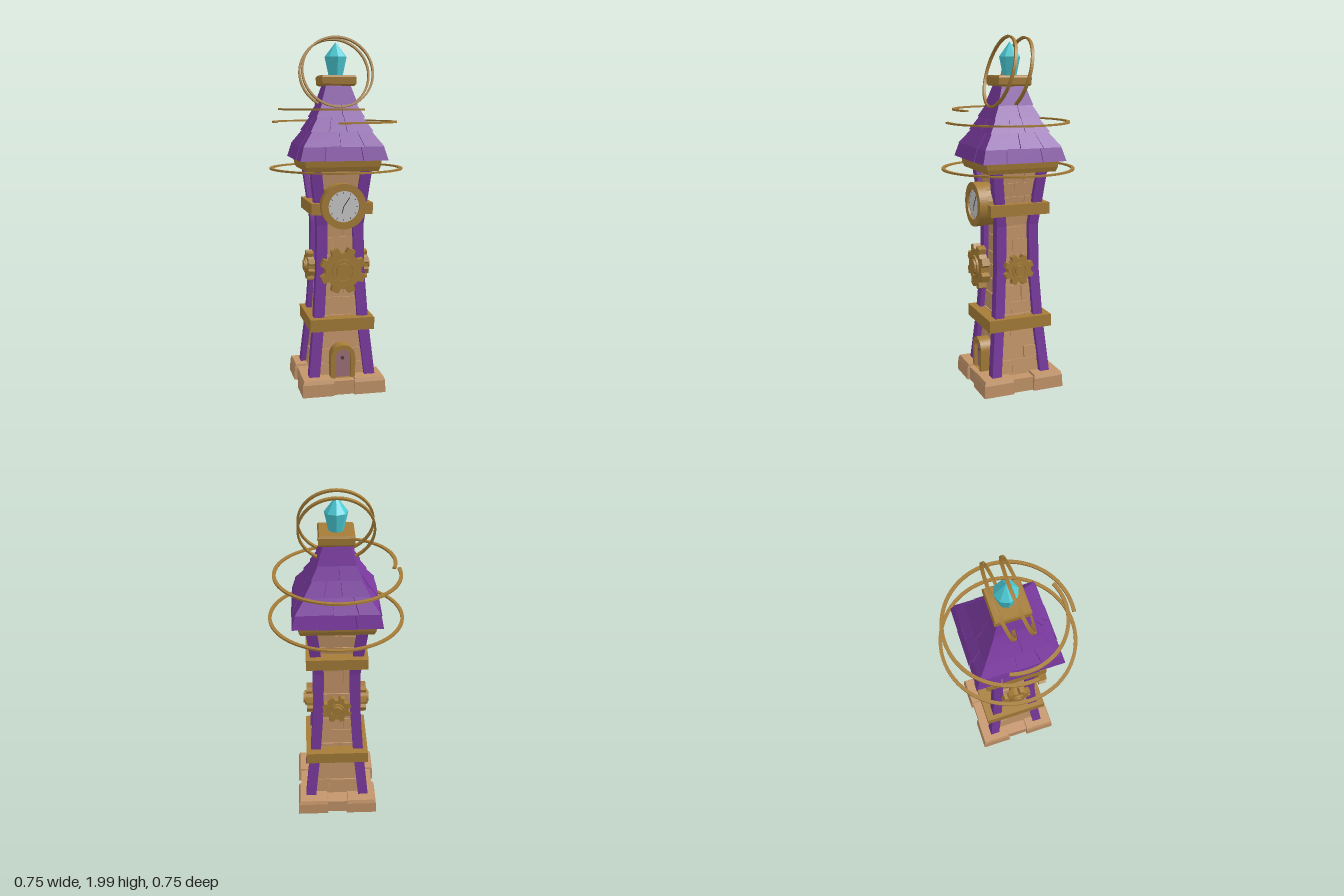
import * as THREE from 'three';

const mat = (name, color) => Object.assign(new THREE.MeshStandardMaterial({ color, flatShading: true }), { name });
const M = {
  stone: mat('sandstone', 0xc4956a), purple: mat('purple', 0x7a3a9f), gold: mat('brass', 0xa67d38),
  crystal: mat('crystal', 0x4ccbd6), dial: mat('dial', 0xcacaca), door: mat('door', 0x9d727a), dark: mat('dark metal', 0x4a4046),
};

// Half-width outlines as [y, half] points
const BODY = [[0.08, 0.19], [0.4, 0.157], [0.7, 0.137], [0.95, 0.133], [1.27, 0.173]];
const ROOF = [[1.32, 0.226], [1.385, 0.215], [1.47, 0.16], [1.59, 0.1], [1.73, 0.063]];
const halfAt = (pts, y) => {
  let i = 1;
  while (i < pts.length - 1 && y > pts[i][0]) i++;
  const [a, b] = [pts[i - 1], pts[i]];
  return a[1] + (b[1] - a[1]) * (y - a[0]) / (b[0] - a[0]);
};

let seed = 7;
const rand = () => (seed = (seed * 16807) % 2147483647) / 2147483647;

function add(parent, name, geo, material, x = 0, y = 0, z = 0) {
  const m = new THREE.Mesh(geo, material);
  m.name = name;
  m.position.set(x, y, z);
  parent.add(m);
  return m;
}

const box = (parent, name, w, h, d, material, x, y, z) =>
  add(parent, name, new THREE.BoxGeometry(w, h, d), material, x, y, z);

// Square sections [y, half, cx, cz] joined into a closed solid
function loft(sections) {
  const pos = [], idx = [], n = sections.length;
  for (const [y, h, cx = 0, cz = 0] of sections)
    for (const [sx, sz] of [[-1, 1], [1, 1], [1, -1], [-1, -1]]) pos.push(cx + sx * h, y, cz + sz * h);
  const quad = (a, b, c, d) => idx.push(a, b, c, a, c, d);
  for (let i = 0; i < n - 1; i++)
    for (let k = 0; k < 4; k++) {
      const a = i * 4 + k, b = i * 4 + (k + 1) % 4;
      quad(a, b, b + 4, a + 4);
    }
  quad(3, 2, 1, 0);
  const t = (n - 1) * 4;
  quad(t, t + 1, t + 2, t + 3);
  const g = new THREE.BufferGeometry();
  g.setAttribute('position', new THREE.Float32BufferAttribute(pos, 3));
  g.setIndex(idx);
  const flat = g.toNonIndexed();
  flat.computeVertexNormals();
  return flat;
}

// Slab lying on one tapered face; u runs -1..1 across it, dLow and dHigh are its thickness
function slab(outline, side, y0, y1, u0, u1, dLow, dHigh) {
  const g = new THREE.BoxGeometry(1, 1, 1).toNonIndexed();
  const p = g.attributes.position;
  for (let i = 0; i < p.count; i++) {
    const up = p.getY(i) > 0, y = up ? y1 : y0;
    const r = outline(y) + (p.getZ(i) > 0 ? (up ? dHigh : dLow) : -0.01);
    p.setXYZ(i, (p.getX(i) > 0 ? u1 : u0) * r, y, r);
  }
  g.rotateY(side * Math.PI / 2);
  g.computeVertexNormals();
  return g;
}

// Flat ring or open arc centred on its own thickness
function ringGeo(outer, inner, depth, from = 0, to = Math.PI * 2 - 0.0005) {
  const s = new THREE.Shape();
  s.absarc(0, 0, outer, from, to, false);
  s.absarc(0, 0, inner, to, from, true);
  return new THREE.ExtrudeGeometry(s, { depth, bevelEnabled: false, curveSegments: 36 }).translate(0, 0, -depth / 2);
}

const discGeo = (r, depth, sides = 24) => new THREE.CylinderGeometry(r, r, depth, sides).rotateX(Math.PI / 2);

// Toothed wheel facing +z, with hub
function gear(r, depth, hubOut) {
  const group = new THREE.Group(), s = new THREE.Shape(), n = 8;
  for (let i = 0; i < n; i++)
    for (const [k, f] of [[-0.32, 0.78], [-0.2, 1], [0.2, 1], [0.32, 0.78]]) {
      const a = (i + 0.5 + k) / n * Math.PI * 2;
      s[i || k > -0.3 ? 'lineTo' : 'moveTo'](Math.cos(a) * r * f, Math.sin(a) * r * f);
    }
  add(group, 'gearWheel', new THREE.ExtrudeGeometry(s, { depth, bevelEnabled: false }), M.gold);
  add(group, 'gearCollar', ringGeo(r * 0.5, r * 0.4, 0.014), M.gold, 0, 0, depth + 0.004);
  add(group, 'gearHub', discGeo(r * 0.34, 0.07 + hubOut, 12), M.gold, 0, 0, depth + hubOut - (0.07 + hubOut) / 2);
  return group;
}

// Rounded-top doorway outline
function arch(shape, w, h) {
  shape.moveTo(-w, 0);
  shape.lineTo(w, 0);
  shape.lineTo(w, h - w);
  shape.absarc(0, h - w, w, 0, Math.PI, false);
  shape.lineTo(-w, 0);
  return shape;
}

export function createModel() {
  const model = new THREE.Group();
  model.name = 'clockTower';
  const tower = new THREE.Group();
  tower.name = 'tower';
  tower.position.z = -0.005;
  model.add(tower);

  // Plinth with heavier corner stones
  box(tower, 'plinth', 0.44, 0.08, 0.45, M.stone, 0, 0.04, 0);
  for (const sx of [-1, 1]) for (const sz of [-1, 1])
    add(tower, 'plinthCorner', loft([[0, 0.09, sx * 0.147, sz * 0.15], [0.07, 0.088, sx * 0.147, sz * 0.15],
      [0.092, 0.082, sx * 0.145, sz * 0.148]]), M.stone);

  // Waisted shaft, corner posts and raised bricks
  const shaft = new THREE.Group();
  shaft.name = 'shaft';
  shaft.scale.z = 0.93;
  tower.add(shaft);
  const wall = y => halfAt(BODY, y) - 0.036;
  add(shaft, 'wallCore', loft(BODY.map(([y]) => [y, wall(y)])), M.stone);
  for (const sx of [-1, 1]) for (const sz of [-1, 1])
    add(shaft, 'cornerPost', loft(BODY.map(([y, h]) => [y, 0.03, sx * (h - 0.03), sz * (h - 0.03)])), M.purple);
  for (let side = 0; side < 4; side++)
    for (let y = 0.095, row = 0; y < 1.22; row++) {
      const h = Math.min(0.07 + rand() * 0.035, 1.26 - y);
      const cut = (row % 2 ? 0.25 : -0.25) + (rand() - 0.5) * 0.3;
      for (const [u0, u1] of [[-0.95, cut - 0.02], [cut + 0.02, 0.95]]) {
        const d = 0.003 + rand() * 0.007;
        if (rand() > 0.2) add(shaft, 'brick', slab(wall, side, y, y + h - 0.006, u0, u1, d, d), M.stone);
      }
      y += h;
    }

  // Brass bands
  box(tower, 'lowerBand', 0.365, 0.07, 0.375, M.gold, 0, 0.393, 0);
  box(tower, 'upperBand', 0.345, 0.065, 0.35, M.gold, 0, 1.047, 0);
  add(tower, 'cornice', loft([[1.255, 0.198], [1.28, 0.207], [1.325, 0.213]]), M.gold);

  // Roof core with overlapping shingles
  const roofLine = y => halfAt(ROOF, y);
  add(tower, 'roofCore', loft(ROOF), M.purple);
  const tiers = [[1.315, 1.392, [-1, -0.45, 0.42, 1], 0.016, 0.01], [1.39, 1.475, [-1, -0.1, 0.5, 1], 0.012, 0.005],
    [1.47, 1.55, [-1, -0.4, 0.15, 1], 0.015, 0.005], [1.545, 1.62, [-1, 0.1, 1], 0.014, 0.004],
    [1.615, 1.73, [-1, 1], 0.01, 0.003]];
  for (const [y0, y1, cuts, d0, d1] of tiers)
    for (let side = 0; side < 4; side++)
      for (let i = 0; i < cuts.length - 1; i++) {
        const u0 = cuts[i] + (i ? 0.012 : 0), u1 = cuts[i + 1] - (i < cuts.length - 2 ? 0.012 : 0);
        const lift = i % 2 && cuts.length > 3 ? 0.003 : 0;
        add(tower, 'shingle', slab(roofLine, side, y0, y1, u0, u1, d0 + lift, d1 + lift), M.purple);
      }
  add(tower, 'roofCap', loft([[1.718, 0.088], [1.728, 0.095], [1.765, 0.097], [1.776, 0.09]]), M.gold);

  // Crystal finial
  add(tower, 'crystalLower', new THREE.CylinderGeometry(0.063, 0.04, 0.105, 8), M.crystal, 0, 1.825, -0.005);
  add(tower, 'crystalTip', new THREE.ConeGeometry(0.063, 0.082, 8), M.crystal, 0, 1.9185, -0.005);

  // Doorway
  const frame = arch(new THREE.Shape(), 0.07, 0.19);
  frame.holes.push(arch(new THREE.Path(), 0.044, 0.165));
  add(model, 'doorFrame', new THREE.ExtrudeGeometry(frame, { depth: 0.07, bevelEnabled: false }), M.gold, 0, 0.088, 0.125);
  add(model, 'door', new THREE.ExtrudeGeometry(arch(new THREE.Shape(), 0.046, 0.167), { depth: 0.06, bevelEnabled: false }),
    M.door, 0, 0.088, 0.115);
  add(model, 'doorKnob', discGeo(0.01, 0.008, 8), M.dark, 0, 0.2, 0.178);

  // Clock
  const clock = new THREE.Group();
  clock.name = 'clock';
  clock.position.set(0, 1.065, 0);
  model.add(clock);
  add(clock, 'clockBody', discGeo(0.122, 0.1), M.gold, 0, 0, 0.145);
  add(clock, 'clockRim', ringGeo(0.125, 0.086, 0.05), M.gold, 0, 0, 0.19);
  add(clock, 'clockDial', discGeo(0.088, 0.008), M.dial, 0, 0, 0.2);
  for (const [len, angle] of [[0.06, -0.6], [0.04, 2.9]])
    add(clock, 'clockHand', new THREE.BoxGeometry(0.004, len, 0.003).translate(0, len / 2, 0), M.dark, 0, 0, 0.205).rotation.z = angle;
  for (let i = 0; i < 12; i++) {
    const a = i * Math.PI / 6;
    add(clock, 'hourMark', new THREE.BoxGeometry(0.003, 0.01, 0.003), M.dark, -Math.sin(a) * 0.075, Math.cos(a) * 0.075, 0.204).rotation.z = a;
  }

  // Gears: large in front, small on the other faces
  for (const [name, r, x, z, turn, depth] of [['frontGear', 0.13, 0, 0.158, 0, 0.045], ['leftGear', 0.088, 0.138, 0, 1, 0.036],
    ['backGear', 0.088, 0, -0.105, 2, 0.03], ['rightGear', 0.088, -0.138, 0, 3, 0.036]]) {
    const g = gear(r, depth, 0.018);
    g.name = name;
    g.position.set(x, 0.705, z);
    g.rotation.y = turn * Math.PI / 2;
    model.add(g);
  }

  // Floating level hoops
  for (const [y, x, r, from, to] of [[1.26, 0, 0.375, 0, Math.PI * 2 - 0.0005], [1.52, -0.008, 0.35, -3.286, 1.72], [1.59, -0.02, 0.305, 1.18, 3.46]])
    add(model, 'levelHoop', ringGeo(r, r - 0.019, 0.01, from, to), M.gold, x, y, 0).rotation.x = Math.PI / 2;
  // Tilted hoops around the crystal
  for (const [z, tilt] of [[0.05, -0.27], [-0.048, -0.25]])
    add(model, 'tiltedHoop', ringGeo(0.204, 0.193, 0.017), M.gold, 0, 1.795 - (z < 0 ? 0.007 : 0), z).rotation.x = tilt;
  return model;
}
